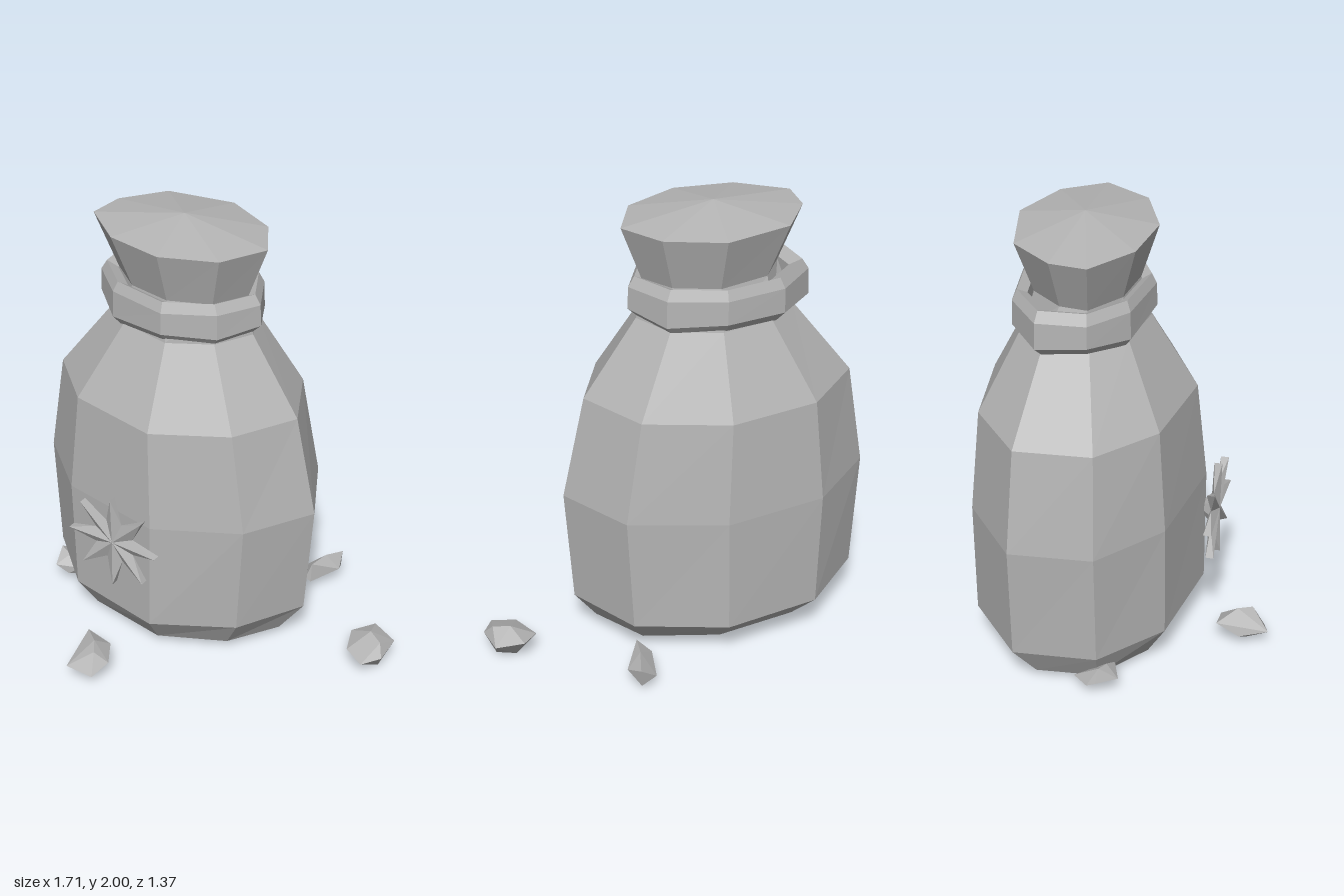
import * as THREE from 'three';
import { ConvexGeometry } from 'three/addons/geometries/ConvexGeometry.js';

// Flat-faced geometry from a list of corner points, three per face
function facets(points) {
  const g = new THREE.BufferGeometry().setFromPoints(points);
  g.computeVertexNormals();
  return g;
}

// Join stacked rings (counterclockwise from above), with optional end points or a closed profile
function loft(rings, { bottom, top, closed } = {}) {
  const out = [];
  const n = rings[0].length;
  const last = closed ? rings.length : rings.length - 1;
  for (let i = 0; i < n; i++) {
    const j = (i + 1) % n;
    for (let r = 0; r < last; r++) {
      const a = rings[r], b = rings[(r + 1) % rings.length];
      out.push(a[i], a[j], b[j], a[i], b[j], b[i]);
    }
    if (bottom) out.push(bottom, rings[0][j], rings[0][i]);
    if (top) out.push(top, rings[rings.length - 1][i], rings[rings.length - 1][j]);
  }
  return facets(out);
}

// Nine-sided outlines in x, z
const BELLY = [[0.47, -0.14], [0.30, -0.46], [-0.10, -0.62], [-0.56, -0.57], [-0.86, -0.33],
  [-0.83, 0.03], [-0.55, 0.27], [-0.07, 0.35], [0.29, 0.16]];
const MOUTH = [[0.20, -0.15], [0.09, -0.33], [-0.15, -0.44], [-0.45, -0.38], [-0.59, -0.20],
  [-0.605, -0.04], [-0.41, 0.11], [-0.15, 0.15], [0.09, 0.05]];

// Fit an outline to a centre and half sizes at height y
function ring(outline, y, cx, cz, hx, hz, wave = 0) {
  const box = new THREE.Box2().setFromPoints(outline.map(p => new THREE.Vector2(...p)));
  const c = box.getCenter(new THREE.Vector2()), s = box.getSize(new THREE.Vector2());
  return outline.map(([x, z], i) => new THREE.Vector3(
    cx + (x - c.x) / s.x * 2 * hx,
    y + wave * Math.cos(i * 2.6),
    cz + (z - c.y) / s.y * 2 * hz));
}

// Eight-pointed star with ridged arms, facing +z
function starGeometry() {
  const out = [];
  const at = (r, a, z) => new THREE.Vector3(r * Math.cos(a), r * Math.sin(a), z);
  const front = new THREE.Vector3(0, 0, 0.014), back = new THREE.Vector3(0, 0, -0.025);
  const half = Math.PI / 8;
  for (let k = 0; k < 8; k++) {
    const a = k * Math.PI / 4;
    const tipF = at(0.226, a, 0.02), tipB = at(0.226, a, -0.015);
    const v0 = at(0.105, a - half, -0.006), v1 = at(0.105, a + half, -0.006);
    out.push(front, v0, tipF, front, tipF, v1);
    out.push(v0, tipB, tipF, tipF, tipB, v1);
    out.push(back, tipB, v0, back, v1, tipB);
  }
  return facets(out);
}

// Corner points of each loose stone
const STONES = [
  [[0.64, 0.09, -0.22], [0.72, 0.11, -0.30], [0.84, 0.09, -0.26], [0.85, 0.085, -0.12], [0.79, 0.08, -0.04],
    [0.69, 0.09, -0.09], [0.75, 0.145, -0.20], [0.82, 0.135, -0.16], [0.73, 0, -0.21], [0.81, 0, -0.17]],
  [[0.245, 0.06, -0.475], [0.215, 0.09, -0.53], [0.24, 0.05, -0.65], [0.325, 0.12, -0.685], [0.32, 0.04, -0.68],
    [0.355, 0.08, -0.60], [0.27, 0.14, -0.49], [0.29, 0.145, -0.585], [0.27, 0.045, -0.48]],
  [[-0.34, 0.12, 0.46], [-0.22, 0.09, 0.46], [-0.15, 0.09, 0.575], [-0.19, 0.04, 0.65], [-0.30, 0.08, 0.685],
    [-0.335, 0.06, 0.56], [-0.25, 0.15, 0.54], [-0.21, 0.14, 0.60], [-0.285, 0.025, 0.58], [-0.21, 0.03, 0.50]],
  [[-0.825, 0.08, 0.03], [-0.80, 0.145, 0.04], [-0.74, 0.13, 0.06], [-0.67, 0.09, 0.08], [-0.78, 0.09, 0.12],
    [-0.72, 0.05, 0.10], [-0.82, 0.06, -0.01], [-0.76, 0.06, -0.08], [-0.65, 0.03, 0.02]],
];

export function createModel() {
  const model = new THREE.Group();
  const grey = new THREE.MeshStandardMaterial({ color: 0xb4b4b4 });
  grey.name = 'stone grey';
  const add = (name, geometry) => {
    const mesh = new THREE.Mesh(geometry, grey);
    mesh.name = name;
    model.add(mesh);
    return mesh;
  };

  // Sack body with pinched neck, flared mouth and low pointed top
  add('sack', loft([
    ring(BELLY, 0.04, -0.21, -0.11, 0.53, 0.355),
    ring(BELLY, 0.19, -0.20, -0.135, 0.63, 0.485),
    ring(BELLY, 0.72, -0.195, -0.135, 0.665, 0.485),
    ring(BELLY, 1.18, -0.21, -0.135, 0.58, 0.445),
    ring(BELLY, 1.52, -0.20, -0.145, 0.335, 0.262),
    ring(MOUTH, 1.70, -0.195, -0.145, 0.305, 0.22),
    ring(MOUTH, 1.94, -0.203, -0.145, 0.403, 0.295),
  ], { bottom: new THREE.Vector3(-0.21, 0.04, -0.11), top: new THREE.Vector3(-0.21, 2, -0.145) }));

  // Thick tie around the neck
  const tie = [[0.78, 1.54], [0.88, 1.515], [1, 1.56], [0.99, 1.67], [0.92, 1.715], [0.78, 1.69]];
  add('tie', loft(tie.map(([s, y], i) =>
    ring(BELLY, y, -0.215, -0.147, 0.388 * s, 0.288 * s, i < 3 ? 0.012 : 0)), { closed: true }));

  // Star ornament floating in front, with a small hub behind
  add('star', starGeometry()).position.set(-0.21, 0.645, 0.425);
  const hub = new THREE.CylinderGeometry(0.08, 0.04, 0.04, 8).toNonIndexed();
  hub.computeVertexNormals();
  const hubMesh = add('starHub', hub);
  hubMesh.rotation.x = Math.PI / 2;
  hubMesh.position.set(-0.21, 0.645, 0.396);

  // Loose stones around the base
  STONES.forEach((points, i) =>
    add(`stone${i + 1}`, new ConvexGeometry(points.map(p => new THREE.Vector3(...p)))));

  return model;
}
